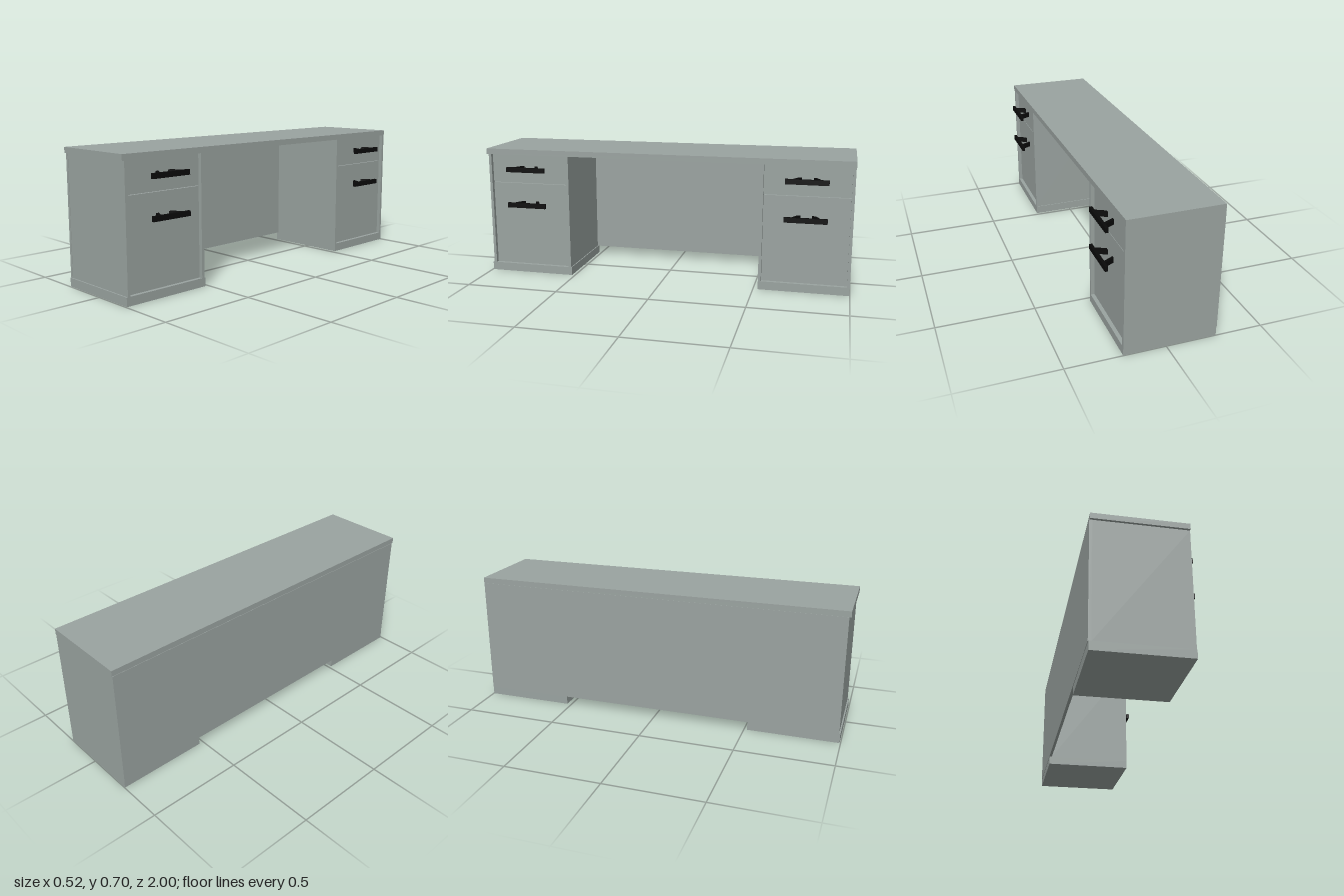
import * as THREE from 'three';

const bodyMat = new THREE.MeshStandardMaterial({ color: 0x9aa3a0 });
const handleMat = new THREE.MeshStandardMaterial({ color: 0x0a0a0a });

// Box given by its extents on each axis
function slab(name, [x0, x1], [y0, y1], [z0, z1]) {
  const mesh = new THREE.Mesh(new THREE.BoxGeometry(x1 - x0, y1 - y0, z1 - z0), bodyMat);
  mesh.name = name;
  mesh.position.set((x0 + x1) / 2, (y0 + y1) / 2, (z0 + z1) / 2);
  return mesh;
}

// Flat bar pull on two splayed legs, extruded upwards from its plan
function handle(y, z) {
  const h = 0.026;
  const group = new THREE.Group();
  group.name = 'handle';
  const plan = (points) => {
    const shape = new THREE.Shape(points.map(([a, b]) => new THREE.Vector2(a, b)));
    const geo = new THREE.ExtrudeGeometry(shape, { depth: h, bevelEnabled: false });
    geo.rotateX(-Math.PI / 2);
    return geo;
  };
  const add = (name, points) => {
    const mesh = new THREE.Mesh(plan(points), handleMat);
    mesh.name = name;
    group.add(mesh);
  };
  add('handleBar', [[0.245, -0.11], [0.26, -0.11], [0.26, 0.11], [0.245, 0.11]]);
  for (const s of [-1, 1]) {
    add('handleLeg', [[0.195, s * 0.03], [0.245, s * 0.057], [0.245, s * 0.073], [0.195, s * 0.046]]);
  }
  group.position.set(0, y - h / 2, z);
  return group;
}

// Plinth, side panels, two recessed drawer fronts and their handles
function pedestal(name, z0, z1) {
  const group = new THREE.Group();
  group.name = name;
  const front = 0.215, back = -0.245, t = 0.015, drawerFace = 0.195;
  const inner = [z0 + t, z1 - t];
  group.add(
    slab('sidePanel', [back, front], [0.045, 0.67], [z0, z0 + t]),
    slab('sidePanel', [back, front], [0.045, 0.67], [z1 - t, z1]),
    slab('lowerDrawer', [drawerFace - 0.02, drawerFace], [0.045, 0.508], inner),
    slab('upperDrawer', [drawerFace - 0.02, drawerFace], [0.511, 0.67], inner),
  );
  for (const y of [0.593, 0.395]) group.add(handle(y, (z0 + z1) / 2));
  return group;
}

export function createModel() {
  const desk = new THREE.Group();
  desk.name = 'desk';

  desk.add(
    slab('desktop', [-0.258, 0.215], [0.67, 0.7], [-1, 1]),
    slab('backPanel', [-0.26, -0.245], [0.045, 0.67], [-0.998, 0.99]),
    slab('plinth', [-0.258, 0.215], [0, 0.045], [0.517, 0.995]),
    slab('plinth', [-0.258, 0.215], [0, 0.045], [-0.998, -0.525]),
    pedestal('leftPedestal', 0.522, 0.988),
    pedestal('rightPedestal', -0.998, -0.525),
  );
  return desk;
}
